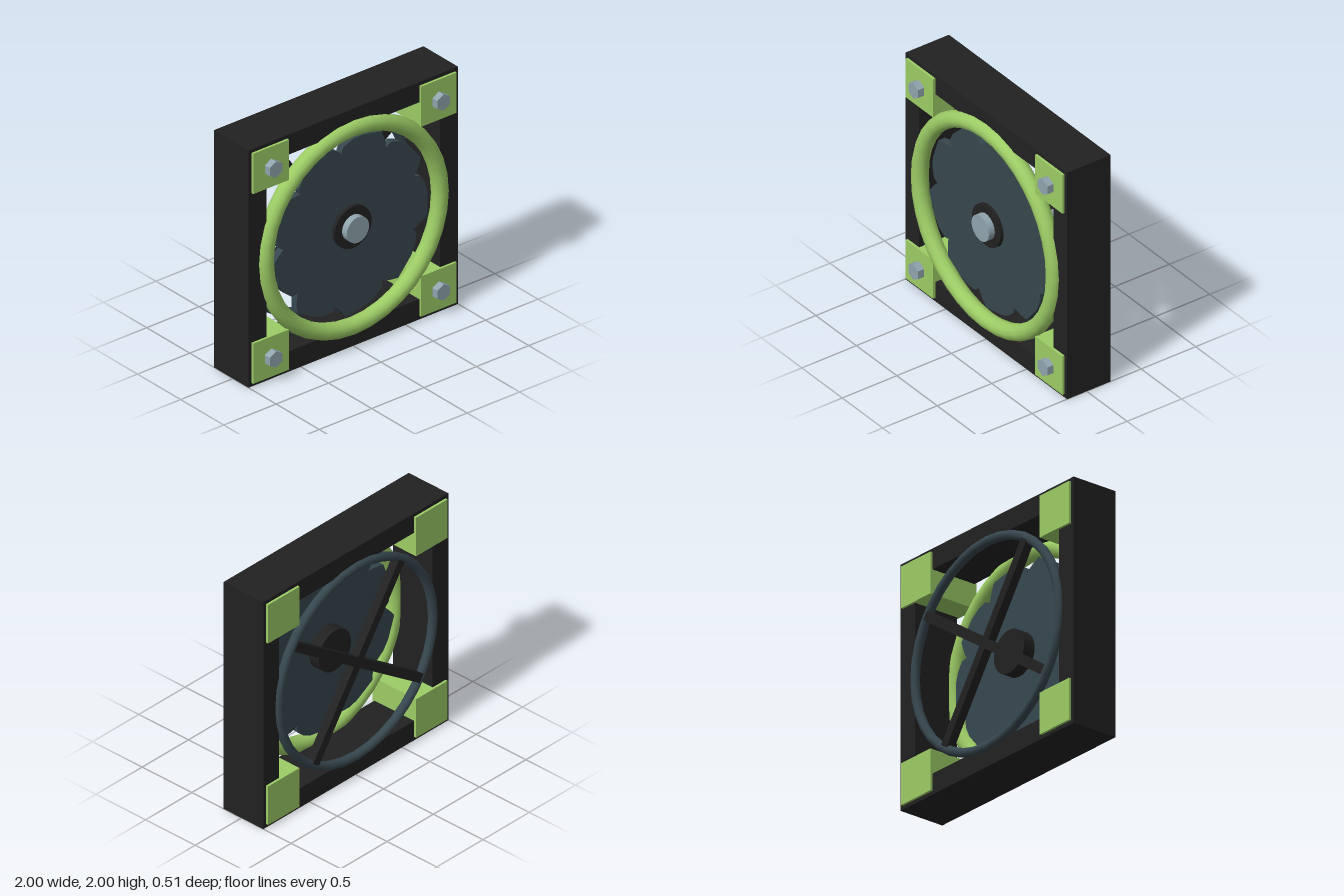
import * as THREE from 'three';

export function createModel() {
  const mat = (name, color) => {
    const m = new THREE.MeshStandardMaterial({ color });
    m.name = name;
    return m;
  };
  const black = mat('black', 0x212121);
  const green = mat('light green', 0x9ccc65);
  const slate = mat('dark slate', 0x37474f);
  const steel = mat('steel', 0x90a4ae);

  const model = new THREE.Group();
  model.name = 'caseFan';
  const add = (name, geometry, material, x = 0, y = 0, z = 0) => {
    const mesh = new THREE.Mesh(geometry, material);
    mesh.name = name;
    mesh.position.set(x, y, z);
    model.add(mesh);
    return mesh;
  };
  // Cylinder along z, spanning z0 to z1
  const disc = (name, r, z0, z1, material, sides = 32, x = 0, y = 1) => {
    const g = new THREE.CylinderGeometry(r, r, z1 - z0, sides).rotateX(Math.PI / 2);
    return add(name, g, material, x, y, (z0 + z1) / 2);
  };

  // Square frame
  const square = (h) => [[-h, -h], [h, -h], [h, h], [-h, h]].map(([x, y]) => new THREE.Vector2(x, y));
  const frameShape = new THREE.Shape(square(1));
  frameShape.holes.push(new THREE.Path(square(0.83)));
  add('frame', new THREE.ExtrudeGeometry(frameShape, { depth: 0.4, bevelEnabled: false }), black, 0, 1, -0.22);

  // Corner pads running through the frame, with hex bolts in front
  const padGeometry = new THREE.BoxGeometry(0.34, 0.34, 0.44);
  for (const x of [-0.8, 0.8]) {
    for (const y of [0.2, 1.8]) {
      add('cornerPad', padGeometry, green, x, y, -0.02);
      const bolt = disc('hexBolt', 0.069, 0.18, 0.257, steel, 6, x, y);
      bolt.material.flatShading = false;
      bolt.geometry = bolt.geometry.toNonIndexed();
      bolt.geometry.computeVertexNormals();
    }
  }

  // Front and rear rings
  add('frontRing', new THREE.TorusGeometry(0.835, 0.067, 12, 36), green, 0, 1, 0.17);
  add('rearRing', new THREE.TorusGeometry(0.835, 0.037, 10, 36), slate, 0, 1, -0.217);

  // Rear cross struts
  for (const angle of [0.6, 0.6 + Math.PI / 2]) {
    add('rearStrut', new THREE.BoxGeometry(1.64, 0.075, 0.07), black, 0, 1, -0.217).rotation.z = angle;
  }

  // Nine swept blades: one tip profile [degrees after notch, radius] repeated clockwise
  const tip = [[0, 0.64], [1, 0.665], [2.5, 0.69], [9, 0.72], [16, 0.735], [23, 0.737], [31, 0.752], [35, 0.705], [38.5, 0.665]];
  const outline = [];
  for (let i = 0; i < 9; i++) {
    for (const [a, r] of tip) {
      const t = THREE.MathUtils.degToRad(98 - i * 40 - a);
      outline.push(new THREE.Vector2(r * Math.cos(t), r * Math.sin(t)));
    }
  }
  add('blades', new THREE.ExtrudeGeometry(new THREE.Shape(outline), { depth: 0.06, bevelEnabled: false }), slate, 0, 1, 0.09);

  // Hub and its cap
  disc('hub', 0.175, -0.01, 0.18, black);
  disc('hubCap', 0.107, 0.18, 0.235, steel);

  return model;
}
